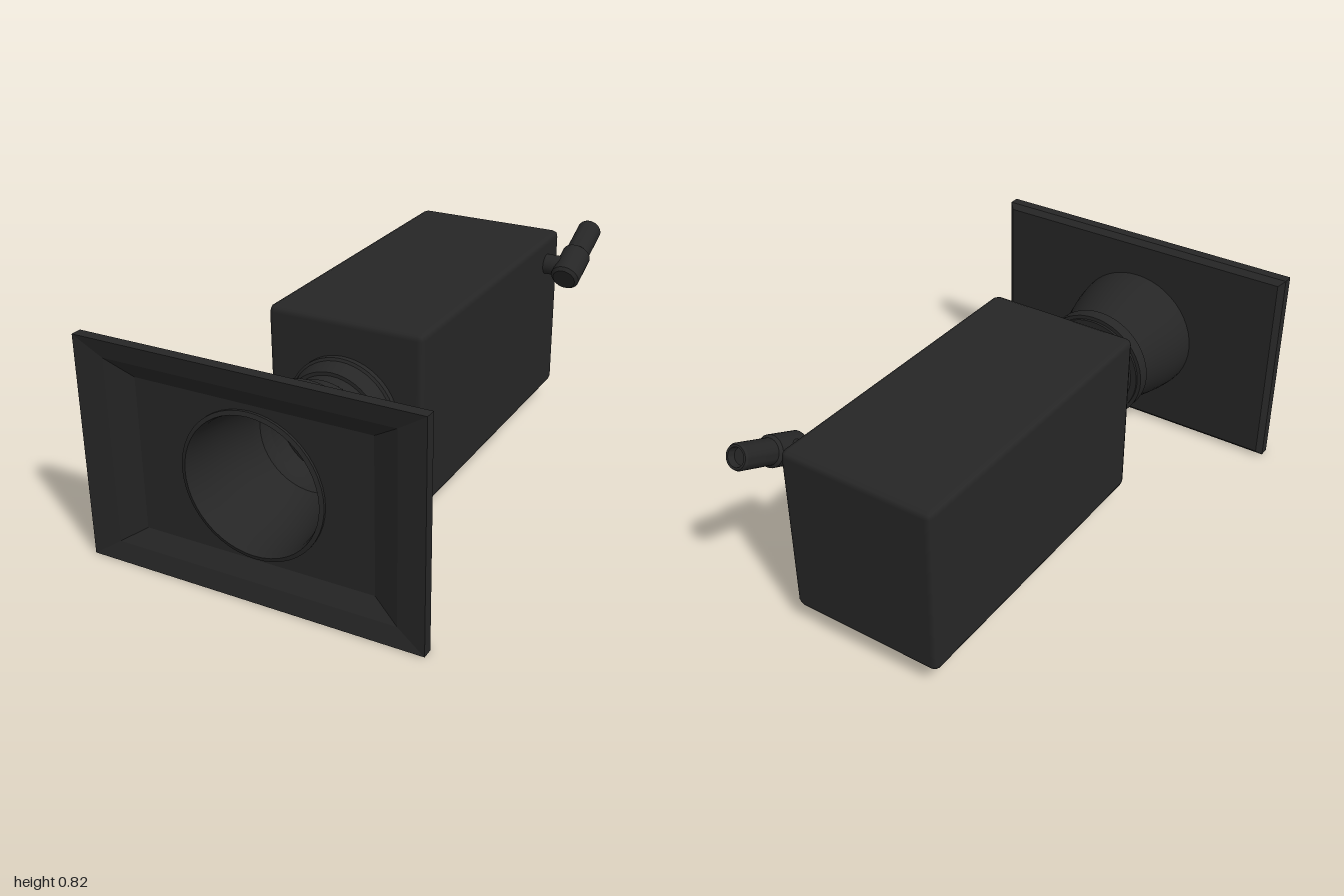
import * as THREE from 'three';
import { toCreasedNormals } from 'three/addons/utils/BufferGeometryUtils.js';
import { RoundedBoxGeometry } from 'three/addons/geometries/RoundedBoxGeometry.js';

const dark = new THREE.MeshStandardMaterial({ color: 0x262626 });

function add(parent, name, geometry, x = 0, y = 0, z = 0) {
  const mesh = new THREE.Mesh(geometry, dark);
  mesh.name = name;
  mesh.position.set(x, y, z);
  parent.add(mesh);
  return mesh;
}

// Turned part from [radius, along] pairs, with its axis laid along z
function turned(profile, segments = 48) {
  const points = profile.map(([r, z]) => new THREE.Vector2(r, z));
  const g = new THREE.LatheGeometry(points, segments).rotateX(Math.PI / 2);
  return toCreasedNormals(g, 0.5);
}

// Rectangular frame through [halfWidth, halfHeight, z] sections
function frame(sections) {
  const corners = [[-1, -1], [1, -1], [1, 1], [-1, 1]];
  const positions = [];
  for (let s = 0; s < sections.length - 1; s++) {
    for (let i = 0; i < 4; i++) {
      const corner = (k, j) => {
        const [w, h, z] = sections[k];
        const [cx, cy] = corners[j % 4];
        return [cx * w, cy * h, z];
      };
      const a = corner(s, i), b = corner(s, i + 1);
      const c = corner(s + 1, i + 1), d = corner(s + 1, i);
      positions.push(...a, ...b, ...c, ...a, ...c, ...d);
    }
  }
  const g = new THREE.BufferGeometry();
  g.setAttribute('position', new THREE.Float32BufferAttribute(positions, 3));
  g.computeVertexNormals();
  return g;
}

export function createModel() {
  const model = new THREE.Group();
  model.name = 'camera';
  const axisY = 0.405;

  // Camera body with small chamfers
  add(model, 'body', new RoundedBoxGeometry(0.61, 0.67, 1.25, 1, 0.025), 0, 0.42, -0.26);

  // Stepped lens barrel, flaring to the front, then back down the inside
  add(model, 'lensBarrel', turned([
    [0.215, 0.35], [0.215, 0.385], [0.205, 0.39], [0.188, 0.45],
    [0.175, 0.45], [0.175, 0.51], [0.185, 0.51], [0.185, 0.59],
    [0.21, 0.59], [0.21, 0.6], [0.225, 0.6], [0.225, 0.65],
    [0.207, 0.65], [0.212, 0.69], [0.223, 0.74], [0.24, 0.8],
    [0.254, 0.86], [0.262, 0.91], [0.265, 0.96], [0.25, 0.965],
    [0.243, 0.94], [0.238, 0.88], [0.226, 0.8], [0.21, 0.72],
    [0.2, 0.65], [0.2, 0.6], [0.19, 0.59], [0.177, 0.57], [0.177, 0.5],
  ]), 0, axisY, 0);

  // Slightly domed front glass
  add(model, 'lensGlass', turned([
    [0.178, 0.5], [0.15, 0.51], [0.1, 0.521], [0.05, 0.528], [0, 0.53],
  ]), 0, axisY, 0);

  // Matte plate: back panel with a round opening, and a sloping rim
  const hood = new THREE.Group();
  hood.name = 'hood';
  hood.position.set(0, 0.41, 0);
  model.add(hood);
  const w = 0.61, h = 0.39;
  const panel = new THREE.Shape([
    new THREE.Vector2(-w, -h), new THREE.Vector2(w, -h),
    new THREE.Vector2(w, h), new THREE.Vector2(-w, h),
  ]);
  panel.holes.push(new THREE.Path().absarc(0, axisY - 0.41, 0.262, 0, Math.PI * 2, true));
  add(hood, 'hoodPanel', new THREE.ExtrudeGeometry(panel, {
    depth: 0.01, bevelEnabled: false, curveSegments: 48,
  }), 0, 0, 0.94);
  add(hood, 'hoodRim', frame([
    [w, h, 0.94], [0.632, 0.41, 0.96], [0.632, 0.41, 1],
    [0.53, 0.342, 0.985], [0.435, 0.28, 0.95],
  ]));

  // Viewfinder: side arm and a tilted tube with a hollow eye end
  const viewfinder = new THREE.Group();
  viewfinder.name = 'viewfinder';
  model.add(viewfinder);
  add(viewfinder, 'viewfinderArm',
    new THREE.CylinderGeometry(0.04, 0.04, 0.14, 24).rotateZ(Math.PI / 2), 0.36, 0.65, -0.75);
  const tube = add(viewfinder, 'viewfinderTube', turned([
    [0, 0], [0.045, 0], [0.057, 0.012], [0.057, 0.145], [0.047, 0.155],
    [0.047, 0.303], [0.042, 0.312], [0.034, 0.312], [0.03, 0.285], [0, 0.285],
  ], 32), 0.402, 0.618, -0.694);
  tube.rotation.set(Math.PI + 0.42, 0, 0);

  return model;
}
